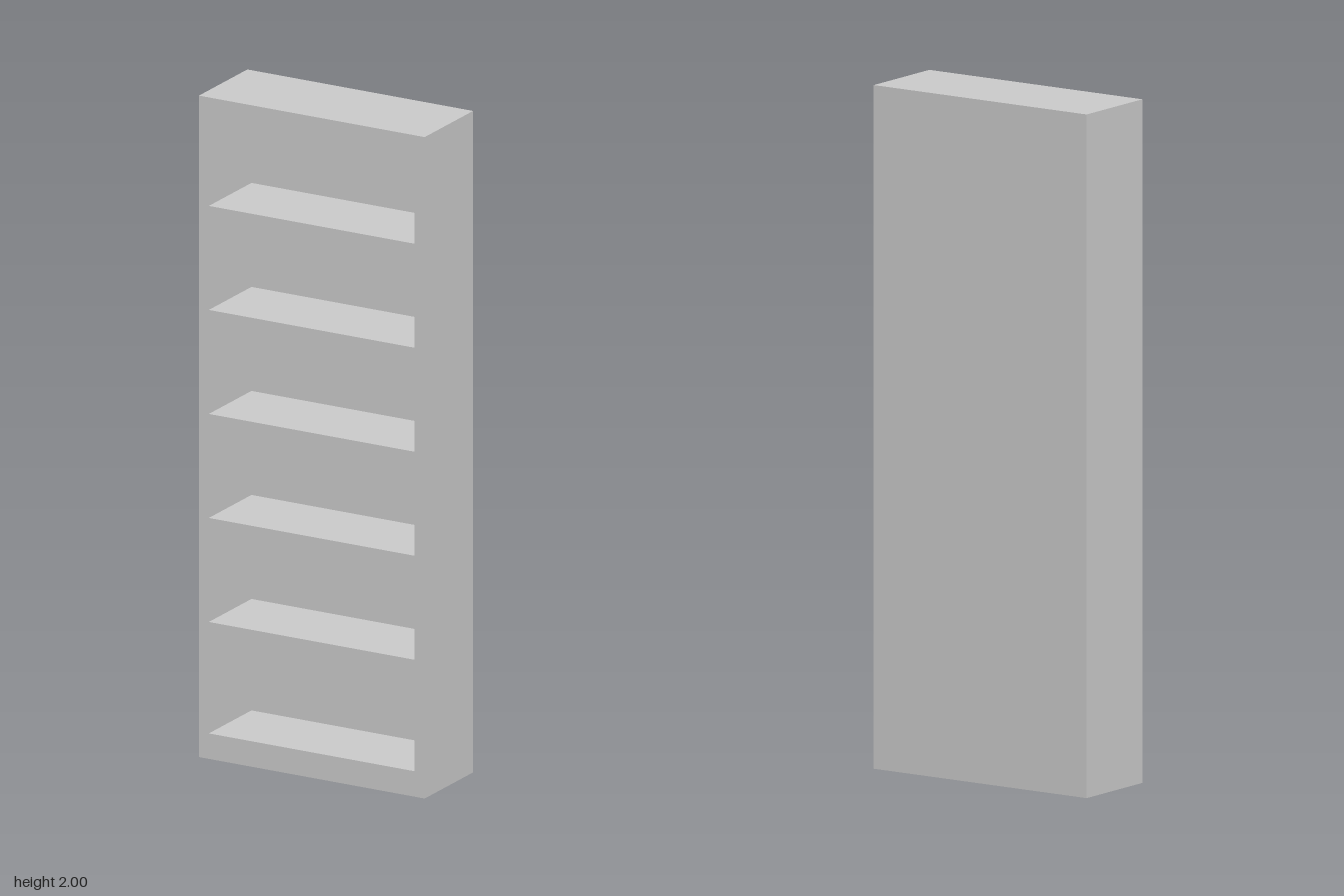
import * as THREE from 'three';

const WIDTH = 0.75, HEIGHT = 2, DEPTH = 0.276;
const BOARD = 0.033;          // side, top and back thickness
const PLINTH = 0.077;         // height of the bottom board
const SHELF = 0.044, SHELF_STEP = 0.3145, FIRST_SHELF = 0.392, SHELVES = 5;

// Adds a closed rectangle to a Shape or Path
function rect(path, x0, y0, x1, y1) {
  path.moveTo(x0, y0);
  path.lineTo(x1, y0);
  path.lineTo(x1, y1);
  path.lineTo(x0, y1);
  path.closePath();
  return path;
}

export function createModel() {
  const group = new THREE.Group();
  group.name = 'bookcase';
  const material = new THREE.MeshStandardMaterial({ color: 0xcccccc });

  // Sides, top, plinth and shelves: one front outline with an opening per bay
  const outline = rect(new THREE.Shape(), -WIDTH / 2, 0, WIDTH / 2, HEIGHT);
  const inner = WIDTH / 2 - BOARD;
  for (let i = 0; i <= SHELVES; i++) {
    const shelfAbove = FIRST_SHELF + i * SHELF_STEP;
    const bottom = i === 0 ? PLINTH : shelfAbove - SHELF_STEP + SHELF / 2;
    const top = i === SHELVES ? HEIGHT - BOARD : shelfAbove - SHELF / 2;
    outline.holes.push(rect(new THREE.Path(), -inner, bottom, inner, top));
  }
  const frame = new THREE.Mesh(
    new THREE.ExtrudeGeometry(outline, { depth: DEPTH - BOARD, bevelEnabled: false }),
    material
  );
  frame.name = 'frameAndShelves';
  frame.position.z = -DEPTH / 2 + BOARD;
  group.add(frame);

  // Back panel closing every bay
  const back = new THREE.Mesh(new THREE.BoxGeometry(WIDTH, HEIGHT, BOARD), material);
  back.name = 'backPanel';
  back.position.set(0, HEIGHT / 2, -DEPTH / 2 + BOARD / 2);
  group.add(back);

  return group;
}
